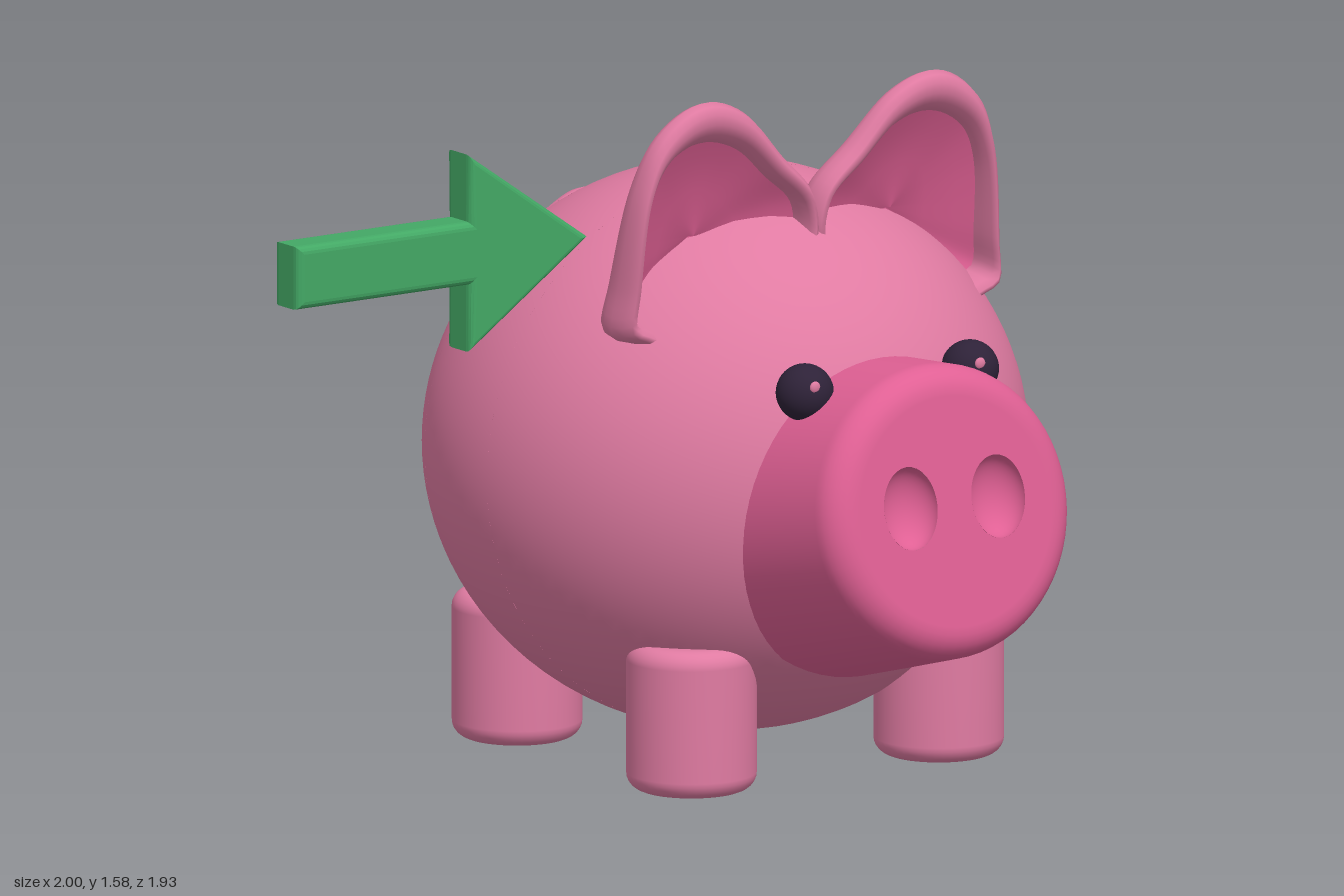
import * as THREE from 'three';
import { ParametricGeometry } from 'three/addons/geometries/ParametricGeometry.js';

const CX = 0.32, CY = 0.695;              // body centre
const RX = 0.678, RY = 0.648, RZ = 0.705; // body radii
const SLOT = { half: 0.04, back: -0.33, front: 0.03 };

const paint = (name, color) => {
  const m = new THREE.MeshStandardMaterial({ color, side: THREE.DoubleSide });
  m.name = name;
  return m;
};

export function createModel() {
  const model = new THREE.Group();
  model.name = 'piggyBank';
  const pink = paint('pink', 0xe07ba2);
  const deepPink = paint('deepPink', 0xe06094);
  const dark = paint('darkEye', 0x2e2238);
  const green = paint('green', 0x43a865);

  const add = (parent, name, geometry, material, x = 0, y = 0, z = 0) => {
    const mesh = new THREE.Mesh(geometry, material);
    mesh.name = name;
    mesh.position.set(x, y, z);
    parent.add(mesh);
    return mesh;
  };
  const lathe = (pts, seg = 48) =>
    new THREE.LatheGeometry(pts.map(([r, y]) => new THREE.Vector2(r, y)), seg);

  // Hollow body in three bands; the middle one leaves a gap for the coin slot
  const body = new THREE.Group();
  body.name = 'body';
  body.position.set(CX, CY, 0);
  model.add(body);
  const ring = z => Math.sqrt(Math.max(0, 1 - (z / RZ) ** 2));
  const band = (name, z0, z1, slotted) => {
    const p0 = Math.acos(-z0 / RZ), p1 = Math.acos(-z1 / RZ);
    add(body, name, new ParametricGeometry((u, v, out) => {
      const z = -RZ * Math.cos(p0 + (p1 - p0) * v), k = ring(z);
      const gap = slotted ? Math.acos(0) - Math.acos(SLOT.half / (RX * k)) : 0;
      const a = Math.PI / 2 + gap + u * (2 * Math.PI - 2 * gap);
      out.set(RX * k * Math.cos(a), RY * k * Math.sin(a), z);
    }, 96, 24), pink);
  };
  band('bodyBack', -0.68, SLOT.back, false);
  band('bodyMiddle', SLOT.back, SLOT.front, true);
  band('bodyFront', SLOT.front, RZ - 0.0001, false);

  // Coin slot walls
  const topAt = z => RY * Math.sqrt(ring(z) ** 2 - (SLOT.half / RX) ** 2);
  for (const s of [-1, 1]) {
    add(body, 'slotSide', new ParametricGeometry((u, v, out) => {
      const z = SLOT.back + (SLOT.front - SLOT.back) * u;
      out.set(s * SLOT.half, topAt(z) - 0.06 * v, z);
    }, 16, 1), pink);
    const z = s < 0 ? SLOT.back : SLOT.front;
    add(body, 'slotEnd', new THREE.PlaneGeometry(2 * SLOT.half, 0.06), pink, 0, topAt(z) - 0.03, z);
  }

  // Round opening at the back
  const k = ring(0.68);
  const rim = new THREE.CylinderGeometry(1, 1, 0.07, 48, 1, true).rotateX(Math.PI / 2);
  add(body, 'openingRim', rim.scale(RX * k, RY * k, 1), pink, 0, 0, -0.645);

  // Snout: tapered, rounded, tilted up, with dented nostrils
  const snout = new THREE.Group();
  snout.name = 'snout';
  snout.position.set(CX, 0.697, 0.912);
  snout.rotation.x = -0.182;
  model.add(snout);
  const profile = [[0.372, -0.45], [0.354, -0.25], [0.337, -0.07]];
  for (let i = 1; i <= 8; i++) {
    const a = (i / 8) * Math.PI / 2;
    profile.push([0.268 + 0.069 * Math.cos(a), -0.07 + 0.07 * Math.sin(a)]);
  }
  profile.push([0.262, 0]);
  add(snout, 'snoutSide', lathe(profile, 64).rotateX(Math.PI / 2), deepPink);
  const face = new THREE.Shape().absarc(0, 0, 0.262, 0, Math.PI * 2);
  for (const s of [-1, 1]) {
    face.holes.push(new THREE.Path().absellipse(s * 0.12, 0.02, 0.073, 0.095, 0, Math.PI * 2, true));
    const dent = new THREE.SphereGeometry(1, 32, 12, 0, Math.PI * 2, Math.PI / 2, Math.PI / 2);
    add(snout, 'nostril', dent.rotateX(Math.PI / 2).scale(0.073, 0.095, 0.06), deepPink, s * 0.12, 0.02, 0);
  }
  add(snout, 'snoutFace', new THREE.ShapeGeometry(face, 32), deepPink);

  // Eyes with a small glint
  for (const s of [-1, 1]) {
    add(model, 'eye', new THREE.SphereGeometry(0.066, 32, 20), dark, CX + s * 0.227, 0.952, 0.642);
    const glint = add(model, 'eyeGlint', new THREE.SphereGeometry(0.014, 12, 8), pink,
      CX + s * 0.227 - 0.012, 0.975, 0.7);
    glint.scale.z = 0.5;
  }

  // Legs
  const legProfile = [[0, 0]];
  const corner = (cy, from) => {
    for (let i = 0; i <= 6; i++) {
      const a = from + (i / 6) * Math.PI / 2;
      legProfile.push([0.108 + 0.04 * Math.cos(a), cy + 0.04 * Math.sin(a)]);
    }
  };
  legProfile.push([0.1, 0]);
  corner(0.04, -Math.PI / 2);
  corner(0.3, 0);
  legProfile.push([0.1, 0.34], [0, 0.34]);
  for (const s of [-1, 1]) {
    add(model, 'frontLeg', lathe(legProfile), pink, CX + s * 0.34, 0, 0.355);
    add(model, 'backLeg', lathe(legProfile), pink, CX + s * 0.34, 0, -0.337);
  }

  // Ears: rings shrunk from one outline, bulging behind and scooped in front
  const outline = new THREE.CatmullRomCurve3([
    [0.515, 1.055], [0.51, 1.16], [0.485, 1.4], [0.44, 1.51], [0.36, 1.573], [0.29, 1.583],
    [0.2, 1.545], [0.1, 1.44], [0.005, 1.335], [0, 1.2], [0.1, 1.15], [0.25, 1.08], [0.4, 1.01], [0.48, 1.035],
  ].map(([x, y]) => new THREE.Vector3(x, y, 0)), true).getSpacedPoints(80).slice(0, 80);
  const MX = 0.27, MY = 1.25;
  const earSurface = (side, rings) => {
    const pos = [], index = [], n = outline.length;
    for (const [sx, sy, thick, bulge] of rings) {
      for (const p of outline) {
        const y = MY + (p.y - MY) * (p.y < MY ? (sx + sy) / 2 : sy);
        const half = 0.075 - (p.y - 1.05) * 0.08;
        pos.push(CX + side * (MX + (p.x - MX) * sx), y, 0.29 + (y - 1.05) * 0.15 + thick * half + bulge);
      }
    }
    for (let r = 0; r < rings.length - 1; r++) {
      for (let i = 0; i < n; i++) {
        const a = r * n + i, b = r * n + (i + 1) % n, c = a + n, d = b + n;
        if (side > 0) index.push(a, b, c, b, d, c);
        else index.push(a, c, b, b, c, d);
      }
    }
    const g = new THREE.BufferGeometry();
    g.setAttribute('position', new THREE.Float32BufferAttribute(pos, 3));
    g.setIndex(index);
    g.computeVertexNormals();
    return g;
  };
  // each ring: x scale, y scale, share of rim thickness, extra depth
  const shell = [
    [0.01, 0.01, -1, -0.075], [0.35, 0.35, -1, -0.07], [0.65, 0.65, -1, -0.05], [0.85, 0.85, -1, -0.015],
    [0.94, 0.94, -0.85, 0], [0.985, 0.985, -0.45, 0], [1, 1, 0, 0], [0.985, 0.975, 0.55, 0],
    [0.95, 0.92, 0.92, 0], [0.92, 0.85, 1, 0], [0.89, 0.78, 0.75, 0], [0.87, 0.73, 0.2, 0], [0.86, 0.71, -0.2, 0],
  ];
  const scoop = [[0.86, 0.71, -0.2, 0], [0.7, 0.58, -0.4, -0.01], [0.4, 0.35, -0.5, -0.03], [0.01, 0.01, -0.5, -0.04]];
  for (const s of [-1, 1]) {
    add(model, 'ear', earSurface(s, shell), pink);
    add(model, 'innerEar', earSurface(s, scoop), deepPink);
  }

  // Curly tail, thinner toward the tip
  const path = new THREE.CatmullRomCurve3([
    [0.2, 1.1, -0.52], [0.31, 1.14, -0.55], [0.41, 1.11, -0.595], [0.43, 1.02, -0.645], [0.36, 0.925, -0.695],
    [0.27, 0.925, -0.74], [0.225, 1.0, -0.785], [0.26, 1.08, -0.835], [0.335, 1.09, -0.885], [0.39, 1.045, -0.94],
  ].map(p => new THREE.Vector3(...p)));
  const steps = 100, sides = 16;
  const tube = new THREE.TubeGeometry(path, steps, 0.052, sides, false);
  const at = tube.attributes.position, v = new THREE.Vector3();
  for (let i = 0; i <= steps; i++) {
    const c = path.getPointAt(i / steps);
    for (let j = 0; j <= sides; j++) {
      const n = i * (sides + 1) + j;
      v.fromBufferAttribute(at, n).sub(c).multiplyScalar(1 - 0.5 * i / steps).add(c);
      at.setXYZ(n, v.x, v.y, v.z);
    }
  }
  add(model, 'tail', tube, pink);
  add(model, 'tailBase', new THREE.SphereGeometry(0.052, 20, 12), pink, 0.2, 1.1, -0.52);
  add(model, 'tailTip', new THREE.SphereGeometry(0.026, 16, 10), pink, 0.39, 1.045, -0.94);

  // Arrow pointing at the ear
  const arrow = new THREE.Shape([
    [-1, -0.073], [-0.525, -0.073], [-0.525, -0.228], [-0.197, 0], [-0.525, 0.228], [-0.525, 0.073], [-1, 0.073],
  ].map(([x, y]) => new THREE.Vector2(x, y)));
  add(model, 'arrow', new THREE.ExtrudeGeometry(arrow, {
    depth: 0.06, bevelThickness: 0.018, bevelSize: 0.018, bevelOffset: -0.018, bevelSegments: 4,
  }), green, 0, 1.27, 0.13);

  return model;
}
